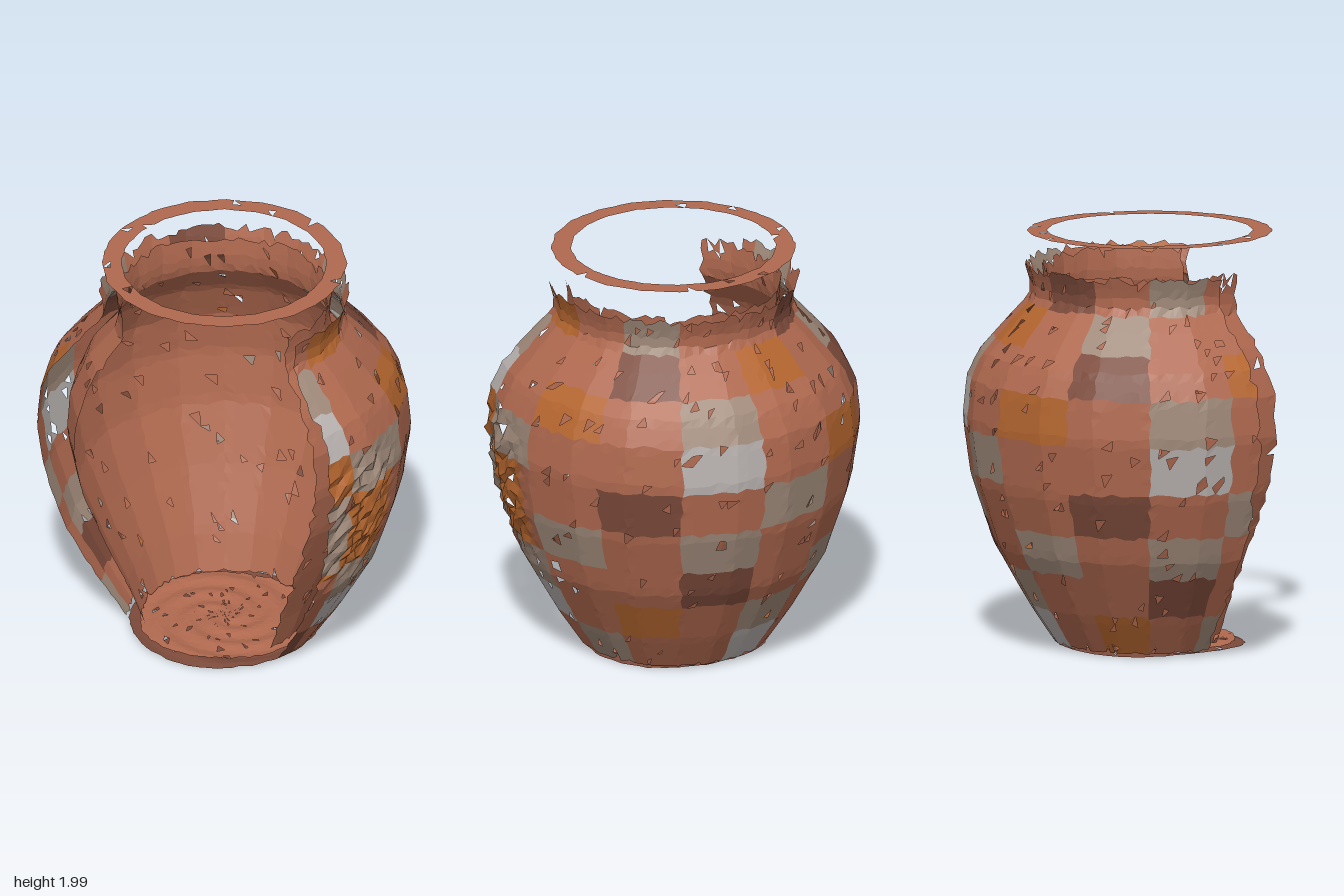
import * as THREE from 'three';

const SIDES = 20, CENTER_Z = 0.08;
const STEP = (Math.PI * 2) / SIDES;

// Clay, grey-beige slip, ochre, dark brown, pale glaze
const GLAZES = [0xb0694f, 0xa08a7a, 0xb5662f, 0x7c4a3a, 0xb9b3b0].map((color) =>
  new THREE.MeshStandardMaterial({ color, flatShading: true, roughness: 0.9, side: THREE.DoubleSide }));

function seeded(seed) {
  return () => {
    seed = (seed * 1664525 + 1013904223) >>> 0;
    return seed / 4294967296;
  };
}

// Point on a 20-sided ring of radius r, with angle measured in sides from +x towards +z
function ringPoint(s, r, y) {
  const k = Math.floor(s), f = s - k;
  const x = THREE.MathUtils.lerp(Math.cos(k * STEP), Math.cos((k + 1) * STEP), f);
  const z = THREE.MathUtils.lerp(Math.sin(k * STEP), Math.sin((k + 1) * STEP), f);
  return new THREE.Vector3(x * r, y, z * r + CENTER_Z);
}

// Weathered clay sheet: a profile swept round the axis, with chips missing and ragged borders
function claySheet(name, profile, o) {
  const { from = 0, to = SIDES, rows, sub = 6, chips = 0.025, rag = 0.3, inside = false, seed = 1, relief, glaze } = o;
  const rand = seeded(seed);
  const jitter = (amount) => (rand() * 2 - 1) * amount;
  const path = new THREE.Path(profile.map(([r, y]) => new THREE.Vector2(r, y)));
  const closed = to - from === SIDES;
  const cols = (to - from) * sub;
  const positions = [];
  for (let j = 0; j <= rows; j++) {
    for (let i = 0; i <= cols; i++) {
      const seam = i === 0 || i === cols;
      const edgeRow = j === 0 || j === rows;
      const s = from + (i + (seam ? (closed ? 0 : jitter(rag)) : jitter(0.25))) / sub;
      const t = (j + (closed && seam ? 0 : jitter(edgeRow ? rag : 0.25))) / rows;
      const c = path.getPoint(THREE.MathUtils.clamp(t, 0, 1));
      // Ragged borders run a little past the profile's ends
      const beyond = t > 1 ? t - 1 : 0;
      const prev = profile[profile.length - 2], last = profile[profile.length - 1];
      const d = new THREE.Vector2(last[0] - prev[0], last[1] - prev[1]).normalize()
        .multiplyScalar(beyond * path.getLength());
      const p = ringPoint(s, c.x + d.x, c.y + d.y);
      if (relief) relief(p, s, c);
      positions.push(p.x, p.y, p.z);
    }
  }
  const faces = GLAZES.map(() => []);
  for (let j = 0; j < rows; j++) {
    for (let i = 0; i < cols; i++) {
      const a = j * (cols + 1) + i, b = a + 1, c = a + cols + 1, e = c + 1;
      const list = faces[glaze ? glaze(from + i / sub, j / rows) : 0];
      for (const [p, q, r] of [[a, c, b], [b, c, e]]) {
        if (rand() < chips) continue;
        if (inside) list.push(p, r, q);
        else list.push(p, q, r);
      }
    }
  }
  const geometry = new THREE.BufferGeometry();
  geometry.setAttribute('position', new THREE.Float32BufferAttribute(positions, 3));
  geometry.setIndex(faces.flat());
  let start = 0;
  faces.forEach((list, k) => {
    if (list.length) geometry.addGroup(start, list.length, k);
    start += list.length;
  });
  geometry.computeVertexNormals();
  const mesh = new THREE.Mesh(geometry, GLAZES);
  mesh.name = name;
  return mesh;
}

// Painted patches on the outer wall, one colour per broad cell
function paintedPatches(s, t) {
  const cell = Math.floor(s / 1.5) * 37 + Math.floor(t * 9) * 101;
  const h = seeded(cell * 7919 + 11);
  h(); h();
  const v = h();
  if (s > 18.2 && t > 0.3 && t < 0.66) return v < 0.5 ? 2 : 1;
  return v < 0.6 ? 0 : v < 0.77 ? 1 : v < 0.85 ? 2 : v < 0.94 ? 3 : 4;
}

// Carved wavy ornament beside the straight broken edge
function carvedOrnament(p, s, c) {
  const fade = THREE.MathUtils.smoothstep(s, 18, 18.8) *
    THREE.MathUtils.smoothstep(c.y, 0.45, 0.65) * (1 - THREE.MathUtils.smoothstep(c.y, 1.15, 1.32));
  p.x += 0.014 * fade * Math.sin(c.y * 46 + 2.5 * Math.sin(s * 7));
}

// Shallow spiral ridges left in the floor
function spiralRidges(p, s, c) {
  p.y += 0.007 * Math.sin(s * STEP * 3 + c.x * 45) * THREE.MathUtils.smoothstep(c.x, 0, 0.1);
}

export function createModel() {
  const group = new THREE.Group();
  group.name = 'brokenJar';

  const outerProfile = [
    [0.46, 0.02], [0.58, 0.2], [0.75, 0.5], [0.855, 0.82], [0.895, 1.1],
    [0.875, 1.3], [0.82, 1.42], [0.66, 1.6], [0.575, 1.69], [0.575, 1.76], [0.6, 1.84],
  ];
  const innerProfile = [
    [0.39, 0.04], [0.46, 0.23], [0.59, 0.53], [0.7, 0.81], [0.75, 1.06],
    [0.735, 1.27], [0.655, 1.47], [0.51, 1.65], [0.505, 1.74], [0.515, 1.83],
  ];

  group.add(
    // Walls, open towards the front
    claySheet('outerWall', outerProfile, {
      from: 7, rows: 44, seed: 5, rag: 0.45, relief: carvedOrnament, glaze: paintedPatches,
    }),
    claySheet('innerWall', innerProfile, {
      from: 6, rows: 40, sub: 5, seed: 23, rag: 0.45, inside: true,
    }),
    // Floor and underside
    claySheet('floor', [[0, 0.03], [0.41, 0.03]], {
      rows: 14, sub: 4, seed: 41, chips: 0.02, inside: true, relief: spiralRidges,
    }),
    claySheet('underside', [[0, 0.01], [0.455, 0.01]], {
      rows: 14, sub: 4, seed: 59, chips: 0.02, rag: 0.15, relief: spiralRidges, glaze: () => 3,
    }),
    // Flat lip hovering above the neck
    claySheet('lip', [[0.49, 1.997], [0.585, 1.997]], {
      rows: 2, sub: 4, seed: 77, chips: 0.03, rag: 0.08, inside: true,
    }),
  );
  return group;
}
